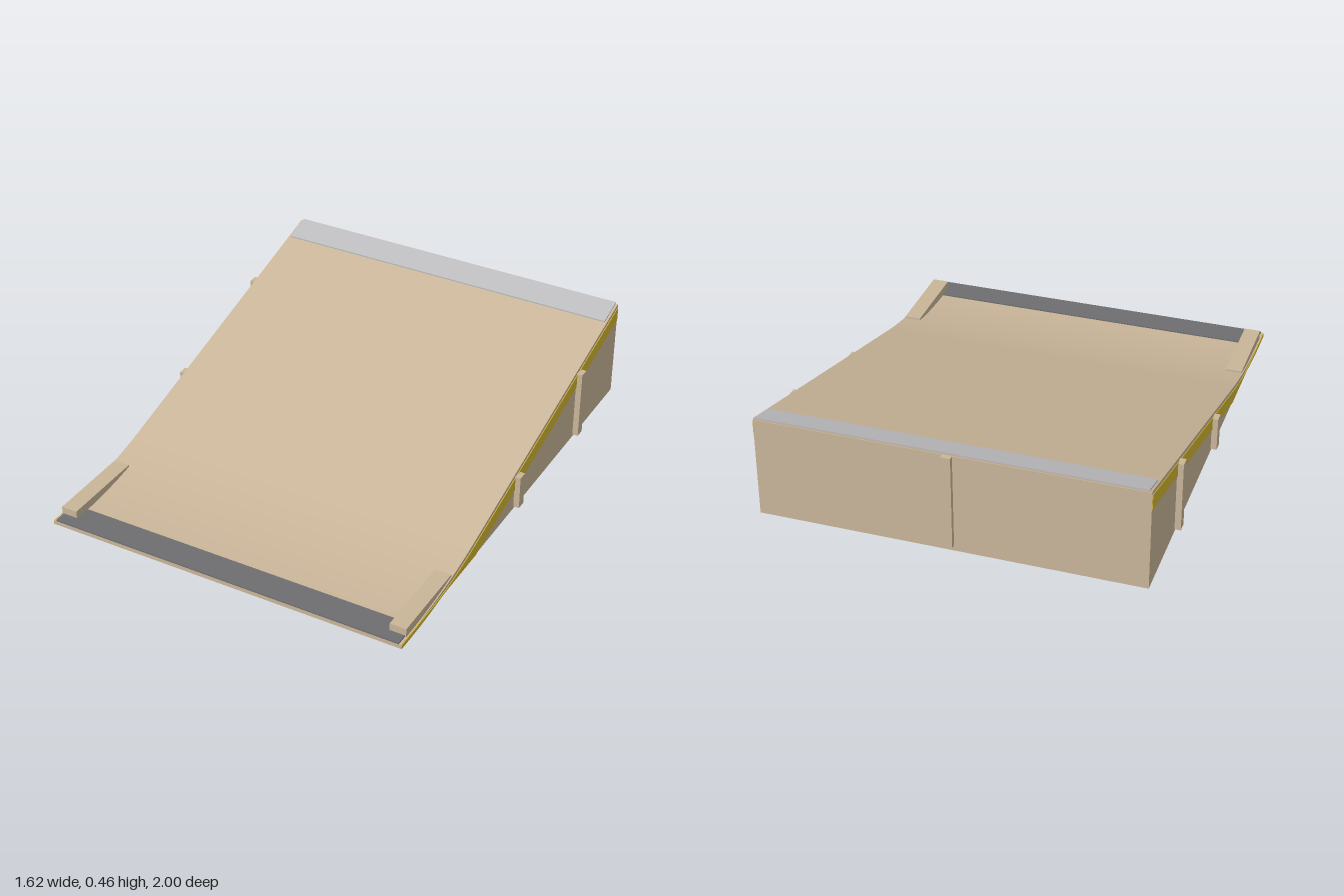
import * as THREE from 'three';
import { toCreasedNormals } from 'three/addons/utils/BufferGeometryUtils.js';

const paint = (name, color) => {
  const m = new THREE.MeshStandardMaterial({ color });
  m.name = name;
  return m;
};

// Height of the riding surface: a parabolic run-in, then a straight slope
const SLOPE = 0.267, BACK = -0.977, FRONT = 1;
const deckTop = (z) => {
  const start = 0.92, end = 0.38;
  if (z >= start) return 0.021;
  if (z > end) return 0.021 + SLOPE * (start - z) ** 2 / (2 * (start - end));
  return 0.021 + SLOPE * (start - end) / 2 + SLOPE * (end - z);
};

// Points [z, y] of a height rule from z0 to z1, dense only along the curve
const trace = (z0, z1, rule) => {
  const zs = [z0];
  for (let z = 0.92; z > 0.37; z -= 0.03) if (z < z0 && z > z1) zs.push(z);
  zs.push(z1);
  return zs.map((z) => [z, rule(z)]);
};

// Side profile in (z, y), extruded across x and centred on the given x
const across = (points, width, x = 0) => {
  const shape = new THREE.Shape(points.map(([z, y]) => new THREE.Vector2(z, y)));
  const g = new THREE.ExtrudeGeometry(shape, { depth: width, bevelEnabled: false });
  g.translate(0, 0, -width / 2).rotateY(-Math.PI / 2).translate(x, 0, 0);
  return toCreasedNormals(g, 0.4);
};

// Band between two height rules
const band = (z0, z1, top, bottom, width, x) =>
  across([...trace(z0, z1, top), ...trace(z0, z1, bottom).reverse()], width, x);

export function createModel() {
  const wood = paint('plywood', 0xc9b599);
  const yellow = paint('yellow paint', 0xd3b630);
  const steel = paint('light steel', 0xbcbcbe);
  const dark = paint('dark steel', 0x6e6e71);
  const ramp = new THREE.Group();
  ramp.name = 'ramp';

  const add = (name, geometry, material) => {
    const mesh = new THREE.Mesh(geometry, material);
    mesh.name = name;
    ramp.add(mesh);
  };
  const box = (name, w, h, d, x, y, z, material) =>
    add(name, new THREE.BoxGeometry(w, h, d).translate(x, y, z), material);

  // Deck, curved at the front
  const deckBottom = (z) => deckTop(z) - 0.018;
  add('deck', band(FRONT, BACK, deckTop, deckBottom, 1.57), wood);

  // Metal plates at both ends of the deck
  add('frontPlate', band(FRONT, 0.88, (z) => deckTop(z) + 0.006, deckTop, 1.55), dark);
  add('topPlate', band(-0.86, -0.98, (z) => deckTop(z) + 0.006, deckTop, 1.55), steel);

  // Back wall and its post
  box('backWall', 1.57, 0.43, 0.022, 0, 0.235, -0.969, wood);
  box('backPost', 0.04, 0.405, 0.022, 0, 0.2475, -0.989, wood);

  for (const [side, s] of [['left', 1], ['right', -1]]) {
    // Side wall under the deck, open below
    add(side + 'Wall', across([[0.70, 0.02],
      ...trace(0.63, BACK, deckBottom), [BACK, 0.02]], 0.03, s * 0.77), wood);

    // Painted band below the deck edge, with the slab tip painted too
    const paintTop = (z) => deckTop(z) - 0.016 * THREE.MathUtils.clamp((0.85 - z) / 0.25, 0.05, 1);
    const paintBottom = (z) => Math.max(Math.min(deckBottom(z), 0.02), deckTop(z) - 0.078);
    add(side + 'PaintBand', band(FRONT, BACK, paintTop, paintBottom, 0.004, s * 0.786), yellow);

    // Flat guide rail at the entry
    box(side + 'Rail', 0.07, 0.04, 0.37, s * 0.745, 0.038, 0.765, wood);

    // Side posts
    for (const [name, z, top] of [['FrontPost', 0.01, 0.176], ['RearPost', -0.58, 0.334]])
      box(side + name, 0.03, top - 0.03, 0.042, s * 0.795, (top + 0.03) / 2, z, wood);
  }
  return ramp;
}
